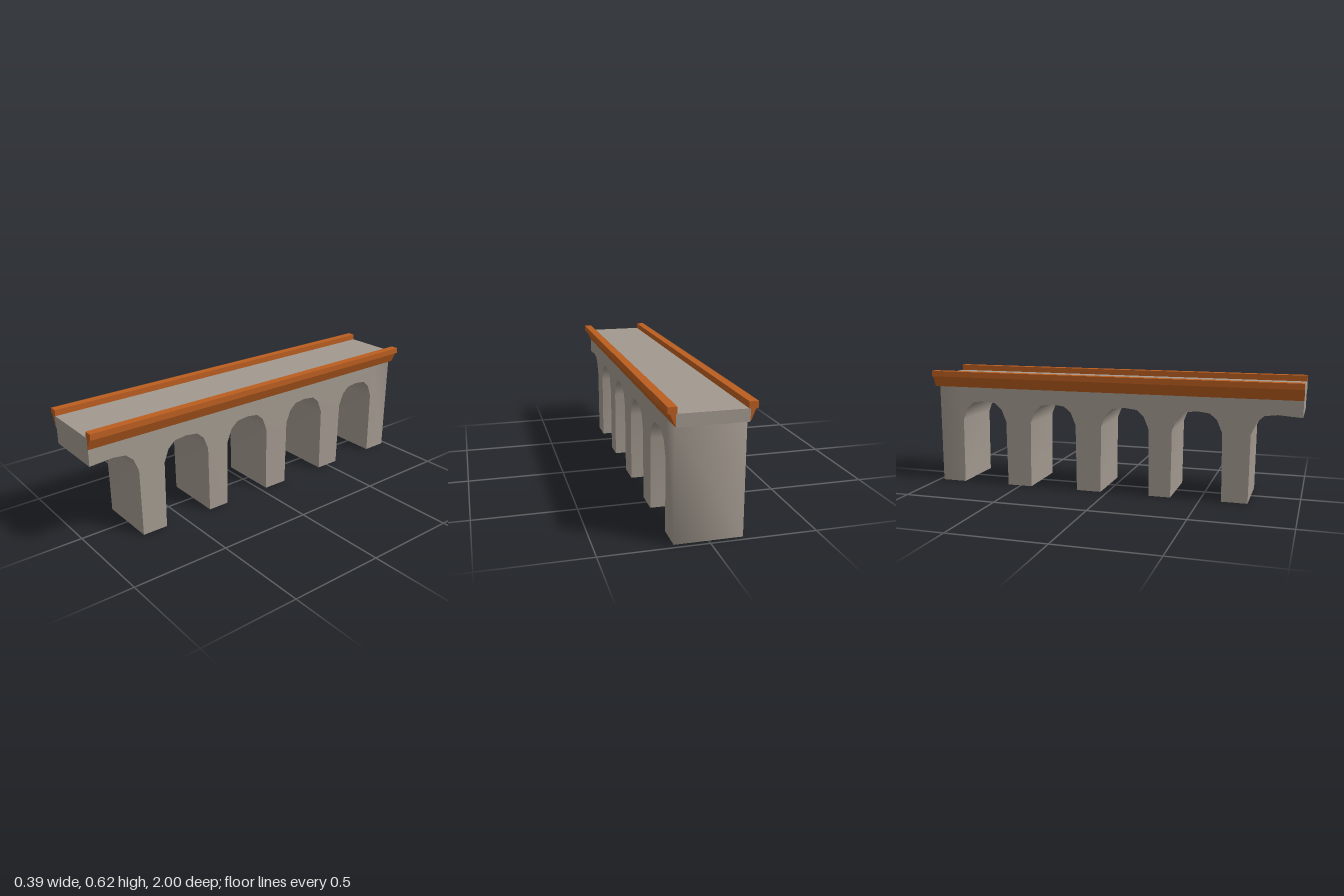
import * as THREE from 'three';

const HALF = 0.159;       // half width of the stone body
const DECK_HALF = 0.162;
const BODY_TOP = 0.537;
const DECK_TOP = 0.595;
const FRONT = 0.998;
const BACK = -0.974;

// half of an arch opening: [offset from its centre, height]
const HALF_ARCH = [[0, 0.462], [0.065, 0.454], [0.103, 0.42], [0.129, 0.355], [0.133, 0]];

// ribbon along [z, y] points, spanning x from -half to half, with smooth normals
function ribbon(points, half) {
  const pos = [], index = [];
  points.forEach(([z, y], i) => {
    pos.push(-half, y, z, half, y, z);
    if (i) {
      const a = 2 * i - 2;
      index.push(a, a + 2, a + 1, a + 1, a + 2, a + 3);
    }
  });
  const g = new THREE.BufferGeometry();
  g.setAttribute('position', new THREE.Float32BufferAttribute(pos, 3));
  g.setIndex(index);
  g.computeVertexNormals();
  return g;
}

export function createModel() {
  // the body is an open shell, so its stone shows on both sides
  const stone = new THREE.MeshStandardMaterial({ color: 0xa2998f, side: THREE.DoubleSide });
  stone.name = 'stone';
  const rust = new THREE.MeshStandardMaterial({ color: 0xbb5e20 });
  rust.name = 'rust orange';

  const model = new THREE.Group();
  model.name = 'viaduct';
  const add = (name, geometry, material) => {
    const mesh = new THREE.Mesh(geometry, material);
    mesh.name = name;
    model.add(mesh);
    return mesh;
  };

  // openings from front to back: a cut-off arch, then four whole ones
  const down = (c) => HALF_ARCH.map(([o, y]) => [c - o, y]);
  const up = (c) => HALF_ARCH.slice(1).reverse().map(([o, y]) => [c + o, y]);
  const arches = [[[FRONT, 0.453], ...down(0.878)]];
  for (const c of [0.478, 0.097, -0.303, -0.706]) arches.push([...up(c), ...down(c)]);

  // arch linings, which run down into the pier faces
  for (const arch of arches) add('archLining', ribbon(arch, HALF), stone);
  add('frontEnd', ribbon([[FRONT, BODY_TOP], [FRONT, 0.453]], HALF), stone);

  // last pier: one smooth-shaded sheet wrapped around three sides
  const pierStart = arches.at(-1).at(-1)[0];
  const wrap = ribbon([[pierStart, -HALF], [BACK, -HALF], [BACK, HALF], [pierStart, HALF]], BODY_TOP / 2);
  add('endPier', wrap.rotateZ(Math.PI / 2), stone).position.y = BODY_TOP / 2;

  // arcaded side walls, with open-bottomed piers between them
  const outline = [...arches.flat(), [pierStart, BODY_TOP], [FRONT, BODY_TOP]];
  for (const side of [-1, 1]) {
    const shape = new THREE.Shape(outline.map(([z, y]) => new THREE.Vector2(-side * z, y)));
    const wall = new THREE.ShapeGeometry(shape).rotateY(side * Math.PI / 2);
    add(side > 0 ? 'leftWall' : 'rightWall', wall, stone).position.x = side * HALF;
  }

  // deck slab
  const deckHeight = DECK_TOP - BODY_TOP;
  add('deck', new THREE.BoxGeometry(2 * DECK_HALF, deckHeight, 2), stone)
    .position.y = BODY_TOP + deckHeight / 2;

  // parapets: a sloped cornice below a square rail
  for (const side of [-1, 1]) {
    const name = side > 0 ? 'left' : 'right';
    const profile = new THREE.Shape([
      new THREE.Vector2(side * DECK_HALF, BODY_TOP),
      new THREE.Vector2(side * 0.187, DECK_TOP),
      new THREE.Vector2(side * DECK_HALF, DECK_TOP),
    ]);
    const cornice = new THREE.ExtrudeGeometry(profile, { depth: 2, bevelEnabled: false });
    add(name + 'Cornice', cornice.translate(0, 0, -1), rust);
    add(name + 'Rail', new THREE.BoxGeometry(0.042, 0.03, 2), rust)
      .position.set(side * 0.176, DECK_TOP + 0.015, 0);
  }
  return model;
}
